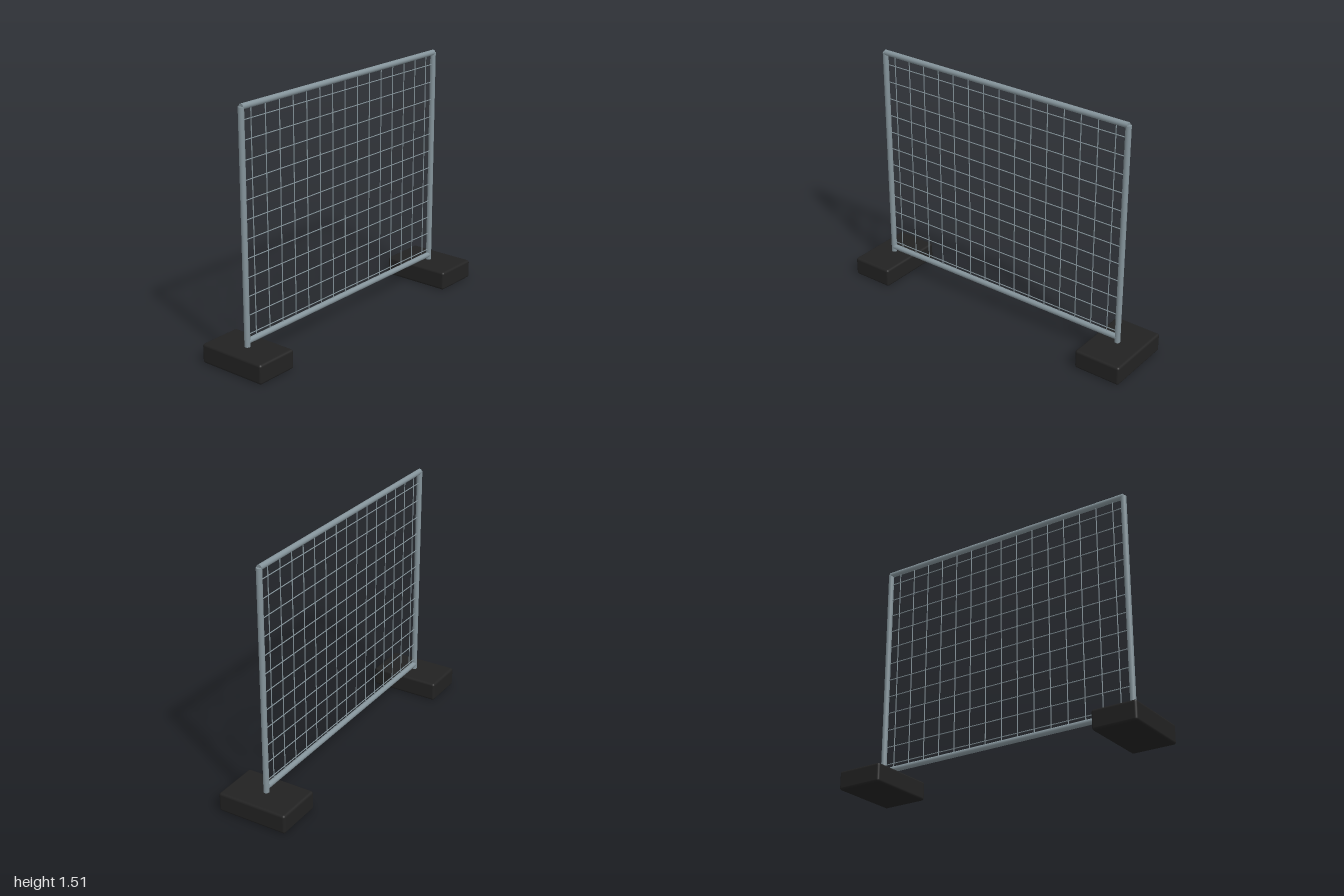
import * as THREE from 'three';
import { RoundedBoxGeometry } from 'three/addons/geometries/RoundedBoxGeometry.js';

export function createModel() {
  const model = new THREE.Group();
  model.name = 'fencePanel';

  const steel = new THREE.MeshStandardMaterial({ color: 0x84939a });
  steel.name = 'galvanised steel';
  const rubber = new THREE.MeshStandardMaterial({ color: 0x222222 });
  rubber.name = 'black rubber';

  const leftX = 0.848, rightX = -0.866; // post centre lines
  const topY = 1.491, bottomY = 0.15;   // rail centre lines
  const tubeR = 0.017, wireR = 0.003;

  // Straight round bar between two points in the panel plane
  function bar(name, x0, y0, x1, y1, radius, sides, parent = model) {
    const from = new THREE.Vector3(x0, y0, 0);
    const to = new THREE.Vector3(x1, y1, 0);
    const mesh = new THREE.Mesh(
      new THREE.CylinderGeometry(radius, radius, from.distanceTo(to), sides), steel);
    mesh.name = name;
    mesh.position.copy(from).lerp(to, 0.5);
    if (x0 !== x1) mesh.rotation.z = Math.PI / 2;
    parent.add(mesh);
  }

  // Tubular frame
  bar('leftPost', leftX, 0.06, leftX, topY, tubeR, 16);
  bar('rightPost', rightX, 0.06, rightX, topY, tubeR, 16);
  bar('topRail', rightX, topY, leftX, topY, tubeR, 16);
  bar('bottomRail', rightX, bottomY, leftX, bottomY, tubeR, 16);

  // Wire mesh infill
  const mesh = new THREE.Group();
  mesh.name = 'wireMesh';
  model.add(mesh);
  const pitch = 0.1117;
  for (let i = 0; i < 15; i++) {
    const x = -0.792 + i * pitch;
    bar('verticalWire', x, bottomY, x, topY, wireR, 8, mesh);
  }
  for (let i = 0; i < 12; i++) {
    const y = 0.188 + i * pitch;
    bar('horizontalWire', rightX, y, leftX, y, wireR, 8, mesh);
  }

  // Ballast feet
  function foot(name, x0, x1) {
    const block = new THREE.Mesh(
      new RoundedBoxGeometry(x1 - x0, 0.118, 0.444, 3, 0.015), rubber);
    block.name = name;
    block.position.set((x0 + x1) / 2, 0.059, 0);
    model.add(block);
  }
  foot('leftFoot', 0.702, 1);
  foot('rightFoot', -1, -0.728);

  return model;
}
